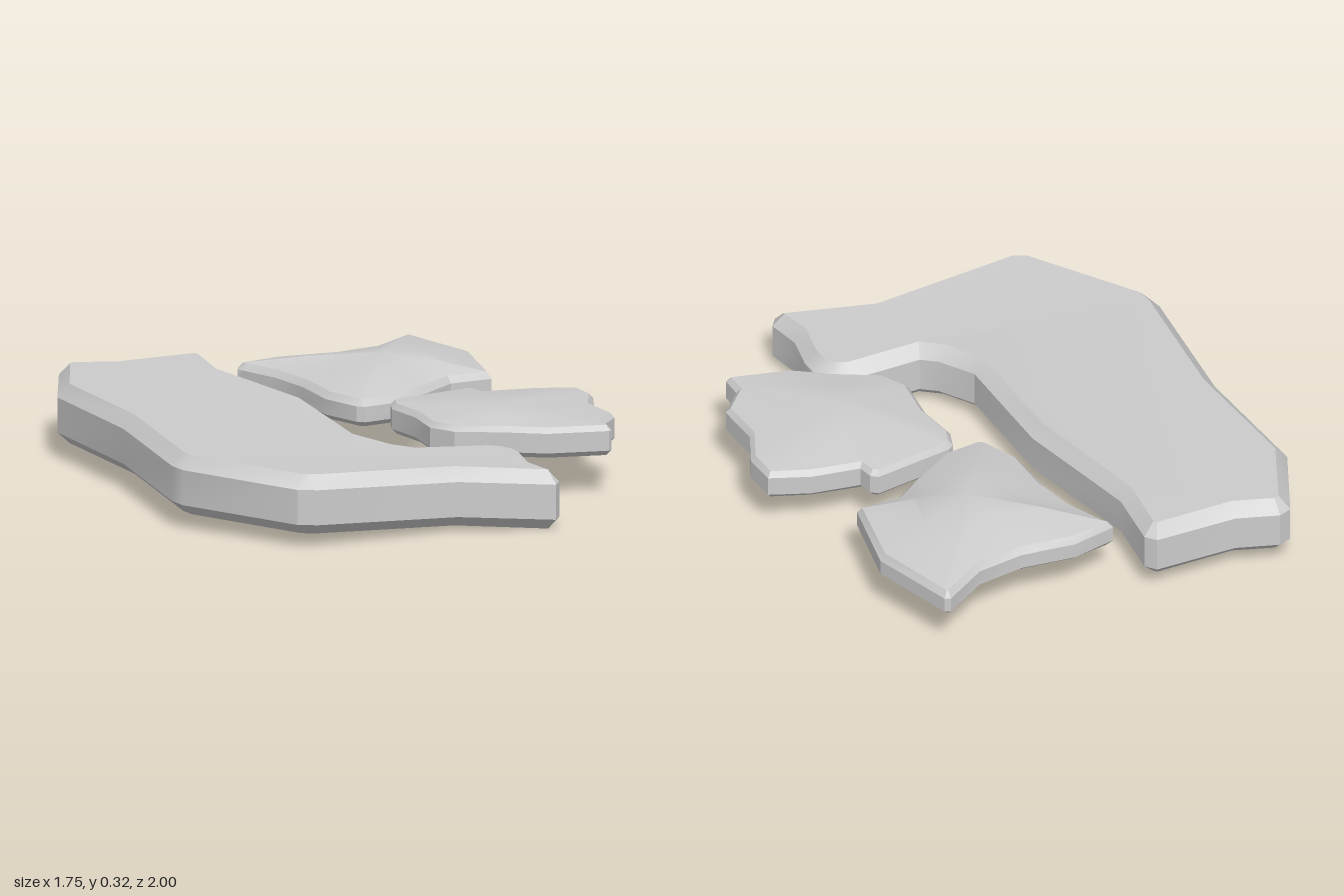
import * as THREE from 'three';
import { toCreasedNormals } from 'three/addons/utils/BufferGeometryUtils.js';

const clamp = (v) => Math.min(1, Math.max(0, v));

// Moves every outline corner inward along its averaged edge normal
function insetOutline(outline, d) {
  const n = outline.length;
  return outline.map(([x, z], i) => {
    const [px, pz] = outline[(i + n - 1) % n];
    const [qx, qz] = outline[(i + 1) % n];
    const a = new THREE.Vector2(x - px, z - pz).normalize();
    const b = new THREE.Vector2(qx - x, qz - z).normalize();
    const t = a.add(b).normalize();
    return [x - t.y * d, z + t.x * d];
  });
}

// Bevelled stone slab: stacked outline rings, closed by flat caps or a dome
// rings: [inset, y] from bottom to top; dome: { peak: [x, y, z], mid: y halfway }
function slab(name, outline, rings, { dome, warp = () => 0 } = {}) {
  const n = outline.length;
  const pos = [];
  const tri = (a, b, c) => pos.push(...a, ...b, ...c);
  const loops = rings.map(([d, y]) =>
    insetOutline(outline, d).map(([x, z]) => [x, y + warp(x, z), z]));

  if (dome) {
    const [px, , pz] = dome.peak;
    const rim = loops[loops.length - 1];
    loops.push(rim.map(([x, , z]) => [(x + px) / 2, dome.mid, (z + pz) / 2]));
  }

  // Sides and bevels
  for (let k = 0; k + 1 < loops.length; k++) {
    for (let i = 0; i < n; i++) {
      const j = (i + 1) % n;
      const [lo, hi] = [loops[k], loops[k + 1]];
      tri(lo[i], hi[i], lo[j]);
      tri(lo[j], hi[i], hi[j]);
    }
  }

  // Flat cap facing up or down
  const cap = (loop, up) => {
    const pts = loop.map(([x, , z]) => new THREE.Vector2(x, z));
    for (const [a, b, c] of THREE.ShapeUtils.triangulateShape(pts, [])) {
      const cw = THREE.ShapeUtils.area([pts[a], pts[b], pts[c]]) > 0;
      if (cw === up) tri(loop[a], loop[c], loop[b]);
      else tri(loop[a], loop[b], loop[c]);
    }
  };
  cap(loops[0], false);
  const top = loops[loops.length - 1];
  if (dome) top.forEach((p, i) => tri(p, dome.peak, top[(i + 1) % n]));
  else cap(top, true);

  const geo = new THREE.BufferGeometry();
  geo.setAttribute('position', new THREE.Float32BufferAttribute(pos, 3));
  const mesh = new THREE.Mesh(toCreasedNormals(geo, 0.45),
    new THREE.MeshStandardMaterial({ color: 0xcccccc }));
  mesh.name = name;
  return mesh;
}

export function createModel() {
  const model = new THREE.Group();
  model.name = 'stoneSlabs';

  // Large L-shaped slab, its short arm sagging toward the tip
  const large = [
    [-0.64, -1], [-0.49, -0.94], [-0.18, -0.92], [-0.15, -0.88], [-0.18, -0.65],
    [-0.09, -0.16], [-0.11, 0.31], [-0.04, 0.45], [0.01, 0.5], [0.28, 0.53],
    [0.34, 0.57], [0.37, 0.64], [0.37, 0.7], [0.34, 0.83], [0.36, 0.96],
    [0.33, 0.995], [0, 0.865], [-0.55, 0.85], [-0.615, 0.815], [-0.87, 0.4],
    [-0.88, 0.33], [-0.815, -0.2], [-0.835, -0.7], [-0.69, -0.985],
  ];
  model.add(slab('largeSlab', large,
    [[0.045, 0.053], [0, 0.095], [0, 0.225], [0.045, 0.273]],
    { warp: (x, z) => -0.046 * clamp((x + 0.55) / 0.85) * clamp((z + 0.2) / 0.7) - 0.01 * clamp(z) }));

  // Back slab with a rounded, domed top
  const back = [
    [-0.08, -0.775], [0.09, -0.8], [0.29, -0.765], [0.47, -0.78], [0.64, -0.875],
    [0.66, -0.865], [0.75, -0.55], [0.68, -0.25], [0.52, -0.255], [0.38, -0.17],
    [0.24, -0.1], [0.1, -0.095], [0.075, -0.115], [0.02, -0.255], [0.02, -0.44],
    [-0.01, -0.6], [-0.07, -0.74],
  ];
  model.add(slab('backSlab', back,
    [[0.025, 0.147], [0, 0.168], [0, 0.225], [0.02, 0.25]],
    { dome: { peak: [0.34, 0.315, -0.45], mid: 0.29 } }));

  // Front slab with a broken outline and a low peak
  const front = [
    [0.21, -0.08], [0.51, -0.105], [0.535, -0.085], [0.545, -0.03], [0.725, 0.01],
    [0.865, 0.075], [0.87, 0.195], [0.805, 0.32], [0.81, 0.49], [0.72, 0.575],
    [0.72, 0.65], [0.705, 0.66], [0.49, 0.595], [0.36, 0.5], [0.21, 0.41],
    [0.16, 0.31], [0.18, 0.15], [0.16, 0], [0.185, -0.065],
  ];
  model.add(slab('frontSlab', front,
    [[0.02, 0.145], [0, 0.165], [0, 0.238], [0.018, 0.258]],
    { dome: { peak: [0.45, 0.293, 0.3], mid: 0.278 }, warp: (x, z) => 0.02 * (z - 0.3) }));

  return model;
}
